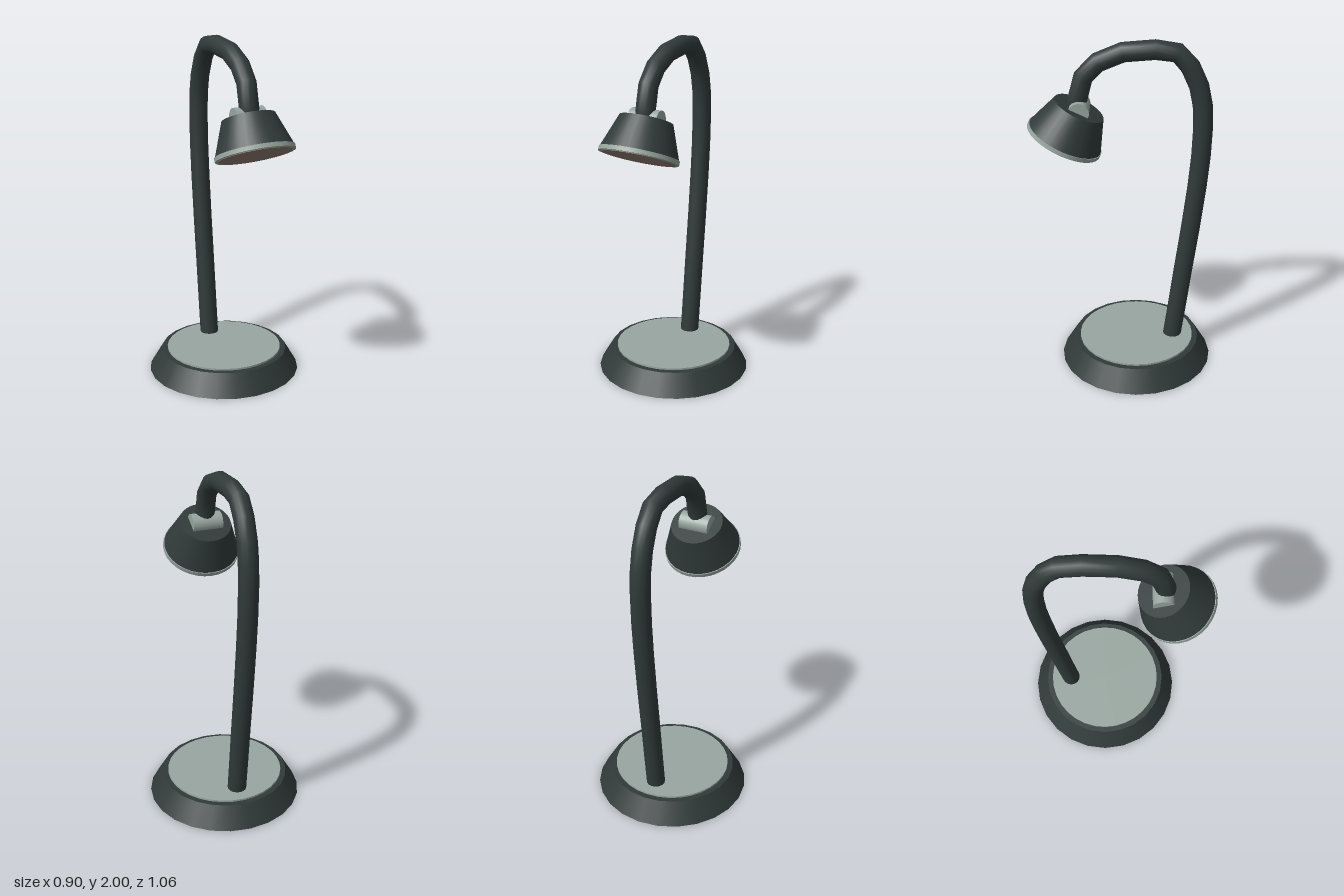
import * as THREE from 'three';

const dark = new THREE.MeshStandardMaterial({ color: 0x303a39 });
dark.name = 'charcoal';
const light = new THREE.MeshStandardMaterial({ color: 0x98a6a0 });
light.name = 'pale grey';
const warm = new THREE.MeshStandardMaterial({ color: 0x8c7970 });
warm.name = 'lens taupe';

function part(parent, name, geometry, material, x = 0, y = 0, z = 0) {
  const mesh = new THREE.Mesh(geometry, material);
  mesh.name = name;
  mesh.position.set(x, y, z);
  parent.add(mesh);
  return mesh;
}

export function createModel() {
  const lamp = new THREE.Group();
  lamp.name = 'deskLamp';

  // Weighted foot with an inset plate
  const baseZ = -0.083;
  part(lamp, 'base', new THREE.CylinderGeometry(0.375, 0.45, 0.127, 24), dark, 0, 0.0635, baseZ);
  part(lamp, 'basePlate', new THREE.CylinderGeometry(0.342, 0.342, 0.014, 32), light, 0, 0.131, baseZ);

  // Bent neck: one ring of the tube at each path point
  const path = [
    [0.1, -0.299], [0.35, -0.33], [0.6, -0.36], [0.87, -0.394], [1.13, -0.423], [1.32, -0.439],
    [1.5, -0.445], [1.63, -0.438], [1.74, -0.415], [1.85, -0.365], [1.928, -0.295], [1.945, -0.175],
    [1.93, 0], [1.873, 0.135], [1.79, 0.215], [1.655, 0.25], [1.61, 0.25],
  ].map(([y, z]) => new THREE.Vector3(0, y, z));
  const curve = new THREE.CatmullRomCurve3(path);
  curve.getPointAt = curve.getPoint;
  curve.getTangentAt = curve.getTangent;
  part(lamp, 'neck', new THREE.TubeGeometry(curve, path.length - 1, 0.055, 16), dark);

  // Tilted head, hung from the centre of its top face
  const head = new THREE.Group();
  head.name = 'head';
  head.position.set(0, 1.608, 0.24);
  head.rotation.x = -0.44;
  lamp.add(head);
  part(head, 'shade', new THREE.CylinderGeometry(0.148, 0.218, 0.19, 32), dark, 0, -0.095, 0);
  part(head, 'rim', new THREE.CylinderGeometry(0.222, 0.222, 0.024, 32), light, 0, -0.2, 0);
  part(head, 'lens', new THREE.CylinderGeometry(0.203, 0.203, 0.006, 32), warm, 0, -0.212, 0);

  // Hinge barrel across the top of the shade
  const hinge = part(head, 'hinge', new THREE.CylinderGeometry(0.058, 0.058, 0.175, 24), light);
  hinge.rotation.z = Math.PI / 2;

  return lamp;
}
